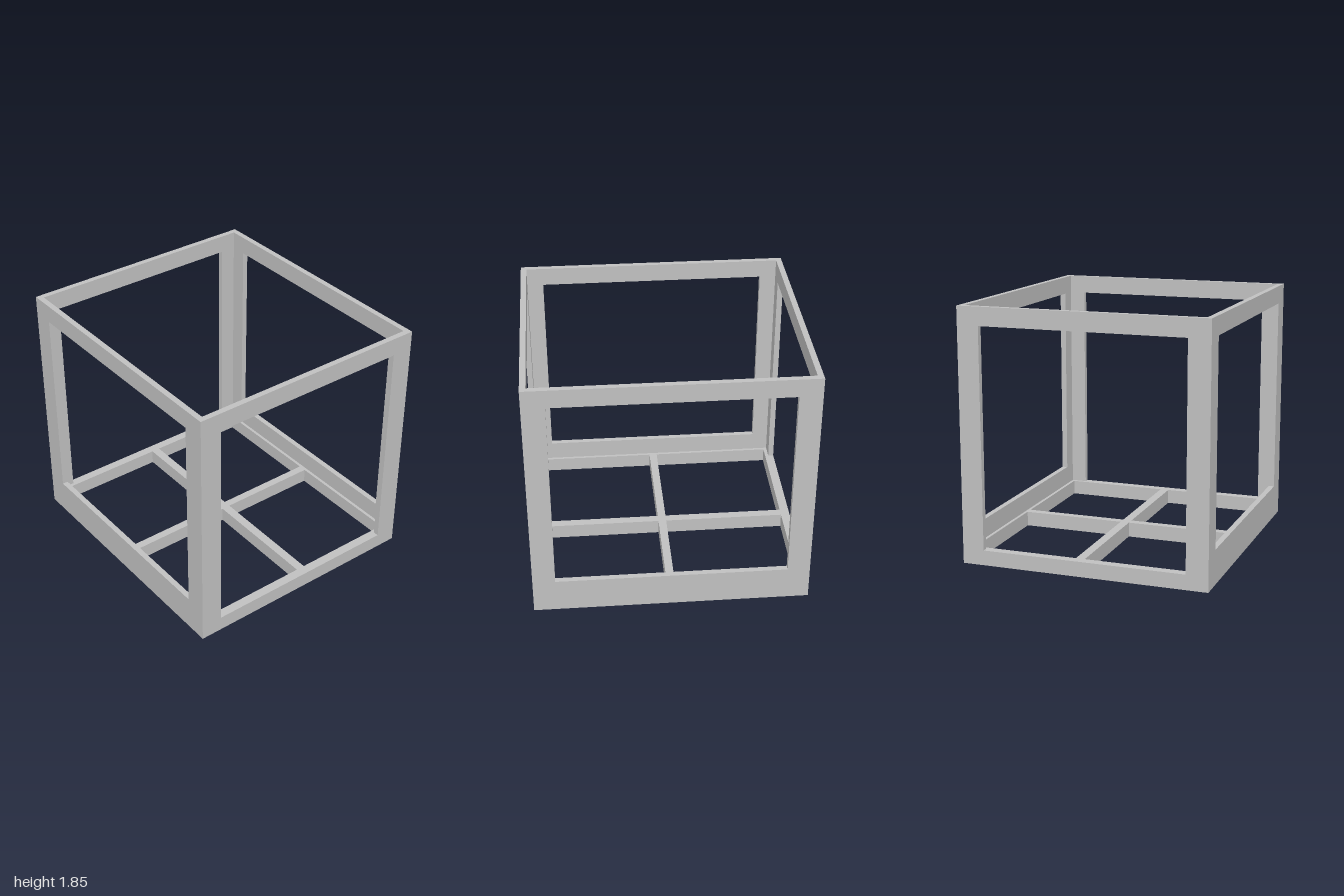
import * as THREE from 'three';

const W = 1, D = 0.91, H = 1.85, T = 0.042; // half width, half depth, height, wall thickness
const BASE = 0.11;

function rect(Type, x0, y0, x1, y1) {
  const p = new Type();
  p.moveTo(x0, y0);
  p.lineTo(x1, y0);
  p.lineTo(x1, y1);
  p.lineTo(x0, y1);
  p.closePath();
  return p;
}

// Flat plate with rectangular openings, extruded along +z
function plate(outer, holes, depth) {
  const shape = rect(THREE.Shape, ...outer);
  for (const h of holes) shape.holes.push(rect(THREE.Path, ...h));
  return new THREE.ExtrudeGeometry(shape, { depth, bevelEnabled: false });
}

export function createModel() {
  const group = new THREE.Group();
  const grey = new THREE.MeshStandardMaterial({ color: 0xc0c0c0 });
  grey.name = 'light grey';
  const add = (name, geometry) => {
    const mesh = new THREE.Mesh(geometry, grey);
    mesh.name = name;
    group.add(mesh);
  };

  // Front and back panels, full width with deep bottom rails
  for (const [name, z] of [['frontPanel', D - T], ['backPanel', -D]]) {
    const g = plate([-W, 0, W, H], [[-0.837, 0.253, 0.837, 1.716]], T);
    add(name, g.translate(0, 0, z));
  }

  // Side panels fitted between them, with shallow bottom rails
  for (const [name, x] of [['leftPanel', W - T], ['rightPanel', -W]]) {
    const g = plate([-D + T, 0, D - T, H], [[-0.75, BASE, 0.75, 1.716]], T);
    add(name, g.rotateY(Math.PI / 2).translate(x, 0, 0));
  }

  // Base ring and cross bars; shape y becomes -z when laid flat
  const holes = [];
  for (const [x0, x1] of [[-0.932, -0.03], [0.03, 0.932]]) {
    for (const [y0, y1] of [[-0.845, 0.005], [0.071, 0.845]]) holes.push([x0, y0, x1, y1]);
  }
  const base = plate([-W + T, -D + T, W - T, D - T], holes, BASE);
  add('baseGrid', base.rotateX(-Math.PI / 2));

  return group;
}
